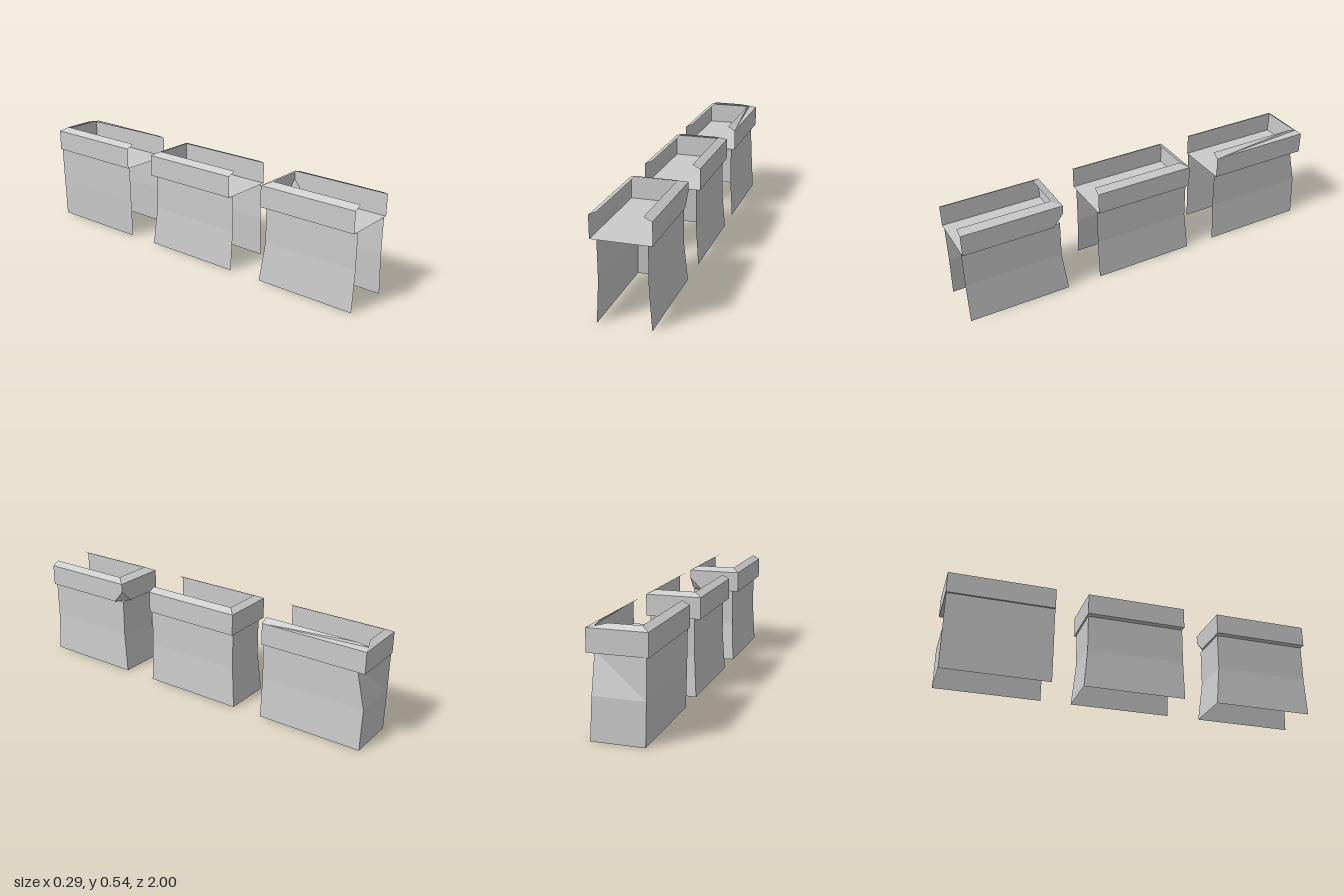
import * as THREE from 'three';

const material = new THREE.MeshStandardMaterial({ color: 0xcccccc, flatShading: true, side: THREE.DoubleSide });

// Flat sheet mesh from convex polygons, each fanned from its first corner
function sheet(name, polygons) {
  const pos = [];
  for (const p of polygons)
    for (let i = 1; i < p.length - 1; i++) pos.push(...p[0], ...p[i], ...p[i + 1]);
  const geometry = new THREE.BufferGeometry();
  geometry.setAttribute('position', new THREE.Float32BufferAttribute(pos, 3));
  geometry.computeVertexNormals();
  const mesh = new THREE.Mesh(geometry, material);
  mesh.name = name;
  return mesh;
}

const X = 0.145, IN = 0.106;           // coping half width, bevel inner half width
const LO = 0.408, HI = 0.52, TOP = 0.54; // floor, coping edge, bevel top

// Three-sided wall, open at the front, in two height bands
function body({ front, rows }) {
  const polys = [];
  for (let i = 0; i < 2; i++) {
    const [a, b] = [rows[i], rows[i + 1]];
    const corners = (r) => [
      [r.right, r.y, front], [r.right, r.y, r.zRight],
      [r.left, r.y, r.zLeft], [r.left, r.y, front],
    ];
    const p = corners(a), q = corners(b);
    for (let k = 0; k < 3; k++) polys.push([p[k + 1], q[k + 1], q[k], p[k]]);
  }
  return sheet('wall', polys);
}

// Overhanging parapet: floor, upright faces and inward bevel
function parapet({ front, back, inner, lowerChip, bevelChip }) {
  const group = new THREE.Group();
  group.name = 'parapet';
  // a chipped lower corner replaces one vertex by a small triangle
  const cut = lowerChip
    ? { side: [X, LO, back + 0.055], up: [X, 0.475, back], rear: [0.075, LO, back] }
    : null;
  const corner = [X, LO, back];
  const sideBase = cut ? [cut.side, cut.up] : [corner];
  const rearBase = cut ? [cut.up, cut.rear] : [corner];
  const floorBase = cut ? [cut.side, cut.rear] : [corner];

  group.add(sheet('floor', [
    [[X, LO, front], [-X, LO, front], [-X, LO, back], ...floorBase.slice().reverse()],
  ]));
  const faces = [
    [[X, HI, front], [X, LO, front], ...sideBase, [X, HI, back]],
    [[-X, HI, back], [X, HI, back], ...rearBase, [-X, LO, back]],
    [[-X, LO, back], [-X, LO, front], [-X, HI, front], [-X, HI, back]],
  ];
  if (cut) faces.push([cut.side, cut.rear, cut.up]);
  group.add(sheet('uprightFaces', faces));

  const rightInner = bevelChip
    ? [[IN, TOP, inner + 0.03], [IN, 0.528, back + 0.01], [0.05, TOP, inner]]
    : [[IN, TOP, inner]];
  const sideInner = bevelChip ? rightInner.slice(0, 2) : rightInner;
  const rearInner = bevelChip ? rightInner.slice(1) : rightInner;
  group.add(sheet('bevel', [
    [[X, HI, front], [X, HI, back], ...sideInner.slice().reverse(), [IN, TOP, front]],
    [[X, HI, back], [-X, HI, back], [-IN, TOP, inner], ...rearInner.slice().reverse()],
    [[-X, HI, back], [-X, HI, front], [-IN, TOP, front], [-IN, TOP, inner]],
  ]));
  return group;
}

// Wall outline at one height
const row = (y, left, right, zLeft, zRight = zLeft) => ({ y, left, right, zLeft, zRight });

export function createModel() {
  const model = new THREE.Group();
  model.name = 'battlements';
  const blocks = [
    { name: 'frontBlock', front: 1, back: 0.473, inner: 0.52, lowerChip: true,
      rows: [row(0, -0.125, 0.138, 0.46), row(0.213, -0.111, 0.125, 0.485), row(LO, -0.111, 0.125, 0.485)] },
    { name: 'middleBlock', front: 0.277, back: -0.262, inner: -0.225,
      rows: [row(0, -0.125, 0.138, -0.272), row(0.213, -0.111, 0.125, -0.253), row(LO, -0.111, 0.125, -0.253)] },
    { name: 'backBlock', front: -0.437, back: -1, inner: -0.968, bevelChip: true,
      rows: [row(0, -0.125, 0.138, -0.998), row(0.213, -0.131, 0.125, -0.998), row(LO, -0.135, 0.125, -0.998, -0.953)] },
  ];
  for (const block of blocks) {
    const group = new THREE.Group();
    group.name = block.name;
    group.add(body(block), parapet(block));
    model.add(group);
  }
  return model;
}
